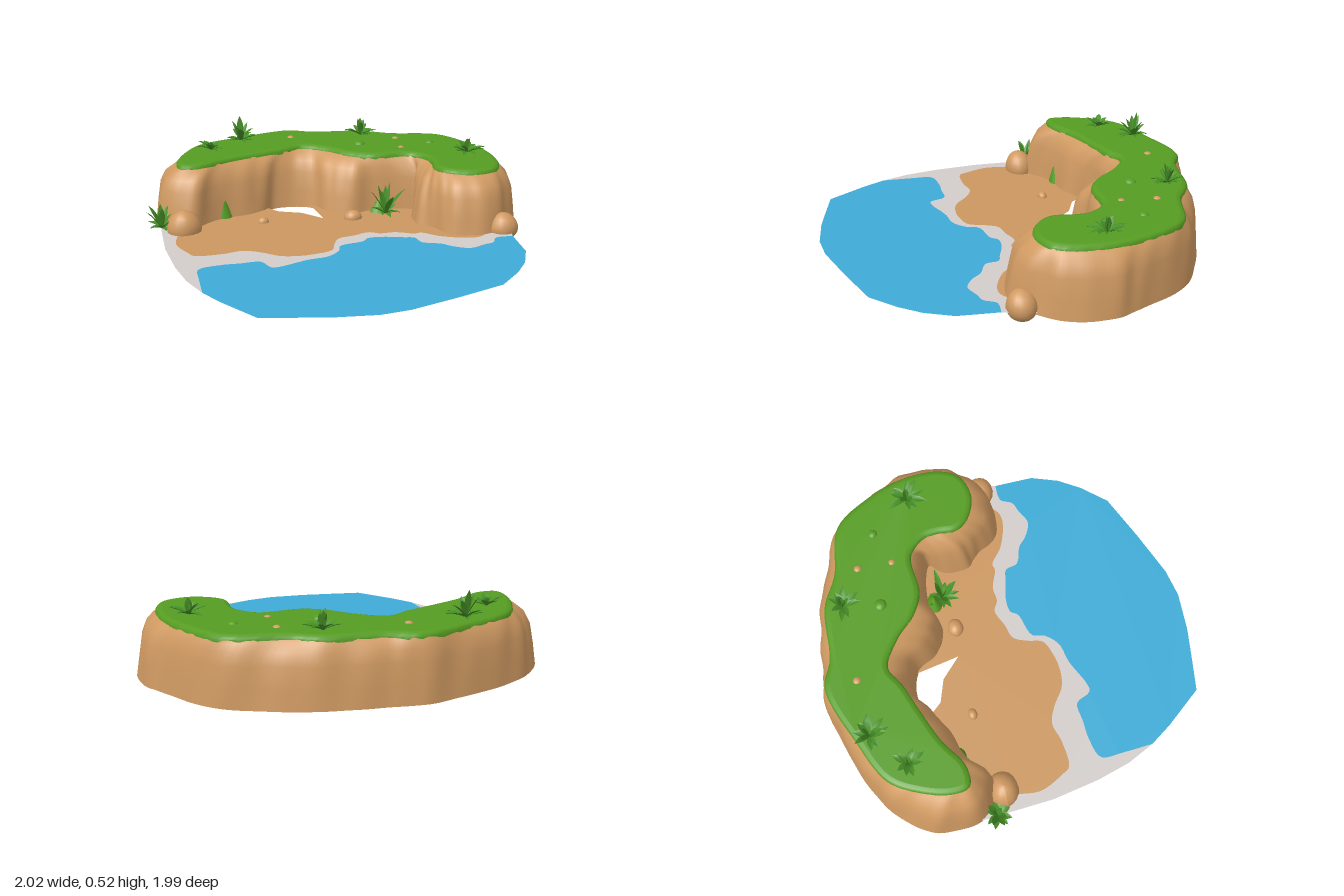
import * as THREE from 'three';
import { mergeGeometries } from 'three/addons/utils/BufferGeometryUtils.js';

const mat = (name, color, double = true) => {
  const m = new THREE.MeshStandardMaterial({ color });
  m.name = name;
  if (double) m.side = THREE.DoubleSide;
  return m;
};

// Paired footprint and rim points of the cliff: base x, z, rim x, z
const CLIFF = [
  [-.93, -.59, -.81, -.5], [-.84, -.74, -.76, -.64], [-.65, -.87, -.66, -.78], [-.4, -.95, -.42, -.88],
  [-.15, -1, -.12, -.96], [.05, -.97, .02, -.9], [.3, -.93, .3, -.86], [.55, -.84, .46, -.77],
  [.8, -.68, .72, -.69], [.93, -.45, .84, -.5], [1, -.3, .9, -.3], [1, -.1, .89, -.1],
  [.88, .08, .83, 0], [.72, .17, .7, .03], [.55, .12, .58, -.03], [.5, .01, .54, -.1],
  [.43, -.06, .55, -.2], [.43, -.19, .54, -.28], [.5, -.27, .46, -.37], [.3, -.33, .25, -.38],
  [.1, -.3, .14, -.44], [0, -.36, .04, -.55], [-.09, -.5, -.1, -.64], [-.27, -.52, -.22, -.59],
  [-.4, -.42, -.38, -.54], [-.6, -.37, -.55, -.48], [-.78, -.26, -.7, -.4], [-.92, -.36, -.8, -.41],
];

// Shore lines, left to right
const SAND_EDGE = [[-.85, -.18], [-.87, -.05], [-.82, .08], [-.78, .13], [-.65, .13], [-.55, .11], [-.46, .15],
  [-.37, .22], [-.27, .24], [-.18, .23], [-.1, .2], [-.07, .12], [-.03, .05], [.05, .03], [.14, 0], [.2, .03],
  [.28, .03], [.37, .07], [.42, .07], [.5, .14], [.62, .19], [.7, .19], [.75, .15]];
const WATER_EDGE = [[-.8, .58], [-.8, .42], [-.79, .3], [-.68, .27], [-.58, .27], [-.48, .27], [-.44, .35],
  [-.38, .35], [-.25, .3], [-.14, .28], [-.07, .22], [-.04, .15], [.08, .12], [.12, .08], [.2, .08], [.3, .11],
  [.36, .13], [.38, .2], [.47, .24], [.52, .29], [.6, .33], [.68, .3], [.74, .28], [.78, .22], [.87, .22]];

const SAMPLES = 224;

function ring(column) {
  const curve = new THREE.CatmullRomCurve3(
    CLIFF.map(p => new THREE.Vector3(p[column], 0, p[column + 1])), true, 'centripetal');
  return Array.from({ length: SAMPLES }, (_, i) => curve.getPoint(i / SAMPLES));
}

// Push a closed ring outwards by a per-point distance and set its height
function offset(points, distance, height) {
  const n = points.length;
  return points.map((p, i) => {
    const t = points[(i + 1) % n].clone().sub(points[(i + n - 1) % n]).normalize();
    const d = distance(i);
    return new THREE.Vector3(p.x + t.z * d, height(i), p.z - t.x * d);
  });
}

// Skin a stack of closed rings
function loft(rings) {
  const n = rings[0].length, index = [];
  for (let r = 0; r < rings.length - 1; r++) {
    for (let i = 0; i < n; i++) {
      const a = r * n + i, b = r * n + (i + 1) % n;
      index.push(a, a + n, b, b, a + n, b + n);
    }
  }
  const g = new THREE.BufferGeometry().setFromPoints(rings.flat());
  g.setIndex(index);
  g.computeVertexNormals();
  return g;
}

// Flat horizontal sheet from [x, z] points
function sheet(points, y) {
  const g = new THREE.ShapeGeometry(new THREE.Shape(points.map(([x, z]) => new THREE.Vector2(x, -z))));
  return g.rotateX(-Math.PI / 2).translate(0, y, 0);
}

const smooth = pts => new THREE.SplineCurve(pts.map(p => new THREE.Vector2(...p)))
  .getPoints(pts.length * 4).map(p => [p.x, p.y]);

function leaf(length, width, pitch, turn) {
  const g = new THREE.PlaneGeometry(2, 1, 2, 5);
  const p = g.attributes.position;
  for (let i = 0; i < p.count; i++) {
    const u = p.getX(i), t = p.getY(i) + .5;
    const w = width * Math.sin(Math.PI * (.12 + .88 * t));
    p.setXYZ(i, u * w,
      length * (Math.sin(pitch) * t - .25 * Math.cos(pitch) * t * t) + Math.abs(u) * w * .5,
      length * Math.cos(pitch) * t);
  }
  g.rotateY(turn);
  g.computeVertexNormals();
  return g;
}

function plantGeometry(radius, height, seed) {
  const random = () => (seed = (seed * 16807) % 2147483647) / 2147483647;
  const leaves = [];
  for (let i = 0; i < 16; i++) {
    const low = i < 9;
    const pitch = low ? .35 + random() * .4 : .85 + random() * .6;
    const length = low ? radius * (.85 + random() * .35) : height * (.65 + random() * .4);
    leaves.push(leaf(length, .014 + random() * .006, pitch, i * 2.4 + random() * .5));
  }
  return mergeGeometries(leaves);
}

function boulderGeometry(rx, ry, rz) {
  const g = new THREE.SphereGeometry(1, 18, 12);
  const p = g.attributes.position;
  for (let i = 0; i < p.count; i++) {
    const x = p.getX(i), y = p.getY(i), z = p.getZ(i);
    const k = 1 + .05 * Math.sin(3 * x + 2 * y) * Math.cos(2 * z - y);
    p.setXYZ(i, x * k * rx, y * k * ry, z * k * rz);
  }
  g.computeVertexNormals();
  return g;
}

export function createModel() {
  const model = new THREE.Group();
  model.name = 'coveIsland';
  const rock = mat('sandstone', 0xd09a62);
  const sand = mat('sand', 0xcb9760);
  const foam = mat('shoreFoam', 0xd2cdca);
  const water = mat('water', 0x3eabd6);
  const grass = mat('grass', 0x569c22);
  const foliage = mat('foliage', 0x468f26);
  const add = (name, geometry, material, x = 0, y = 0, z = 0) => {
    const m = new THREE.Mesh(geometry, material);
    m.name = name;
    m.position.set(x, y, z);
    model.add(m);
    return m;
  };

  // Cliff wall: steep below, rounding over towards the rim, with vertical ridges
  const base = ring(0), rim = ring(2);
  const ridge = i => {
    const a = i / SAMPLES * Math.PI * 2;
    return .5 * Math.sin(23 * a) + .35 * Math.sin(37 * a + 1) + .3 * Math.sin(11 * a + 2);
  };
  const profile = [[0, 0, .3], [.1, .12, .8], [.2, .26, 1], [.26, .48, .9], [.295, .8, .5], [.312, 1, 0]];
  add('cliffWall', loft(profile.map(([y, w, k]) =>
    offset(base.map((p, i) => p.clone().lerp(rim[i], w)), i => ridge(i) * k * .01, () => y))), rock);

  // Grass cap with a ragged overhanging lip
  const ragged = i => .302 + .007 * Math.sin(i * 1.9) + .005 * Math.sin(i * .63);
  const inner = offset(rim, () => -.022, () => .332);
  add('grassLip', loft([
    offset(rim, () => .007, ragged),
    offset(rim, () => .006, () => .317),
    offset(rim, () => -.004, () => .328),
    inner,
  ]), grass);
  add('grassTop', sheet(inner.map(p => [p.x, p.z]), .332), grass);

  // Ground sheet: sand, foam band and water share their shore lines
  const sandEdge = smooth(SAND_EDGE), waterEdge = smooth(WATER_EDGE);
  add('sandFloor', sheet([...sandEdge, [.88, .02], [.97, -.2], [.9, -.45], [.78, -.66], [.55, -.82], [.3, -.9],
    [.05, -.95], [-.15, -.97], [-.4, -.92], [-.08, -.5], [-.05, -.26], [-.15, -.37], [-.27, -.42], [-.33, -.5],
    [-.9, -.5], [-.87, -.3]], .018), sand);
  add('foamBand', sheet([[-.93, -.59], [-.93, 0], [-.9, .25], [-.86, .43], ...waterEdge, [.91, .06],
    ...[...sandEdge].reverse(), [-.87, -.3], [-.9, -.5]], .018), foam);
  add('water', sheet([...waterEdge, [.86, .43], [.8, .57], [.72, .68], [.6, .8], [.35, .89], [.1, .97], [-.05, .99],
    [-.25, .97], [-.4, .94], [-.59, .9], [-.73, .7]], .018), water);

  // Boulders on the beach and pebbles on the grass: x, y, z, radii
  for (const [x, y, z, rx, ry, rz] of [
    [-.81, .04, -.235, .092, .09, .078], [.85, .035, .12, .082, .078, .075], [.11, .025, -.23, .05, .037, .042],
    [-.38, .02, -.275, .032, .025, .025], [-.13, .328, -.8, .021, .012, .021],
    [.46, .328, -.65, .02, .012, .02], [.445, .328, -.47, .018, .01, .018],
  ]) add('boulder', boulderGeometry(rx, ry, rz), rock, x, y, z);
  for (const [x, z, r] of [[.23, -.585, .033], [.63, -.525, .025]])
    add('mossyStone', boulderGeometry(r, r * .6, r), grass, x, .328, z);

  // Moss tufts against the foot of the cliff: x, z, radius, height
  for (const [x, z, r, h] of [[-.58, -.4, .052, .16], [.28, -.3, .062, .09]])
    add('mossTuft', new THREE.ConeGeometry(r, h, 12).scale(1, 1, .7), grass, x, .01 + h / 2, z);

  // Leafy plants: x, y, z, radius, height
  [
    [-.925, .02, -.3, .085, .15], [.3, .02, -.25, .1, .2], [-.61, .33, -.66, .09, .06],
    [-.42, .33, -.81, .1, .14], [.28, .33, -.77, .1, .11], [.78, .33, -.3, .115, .09],
  ].forEach(([x, y, z, r, h], i) => add('leafyPlant', plantGeometry(r, h, 71 + i * 313), foliage, x, y, z));

  return model;
}
